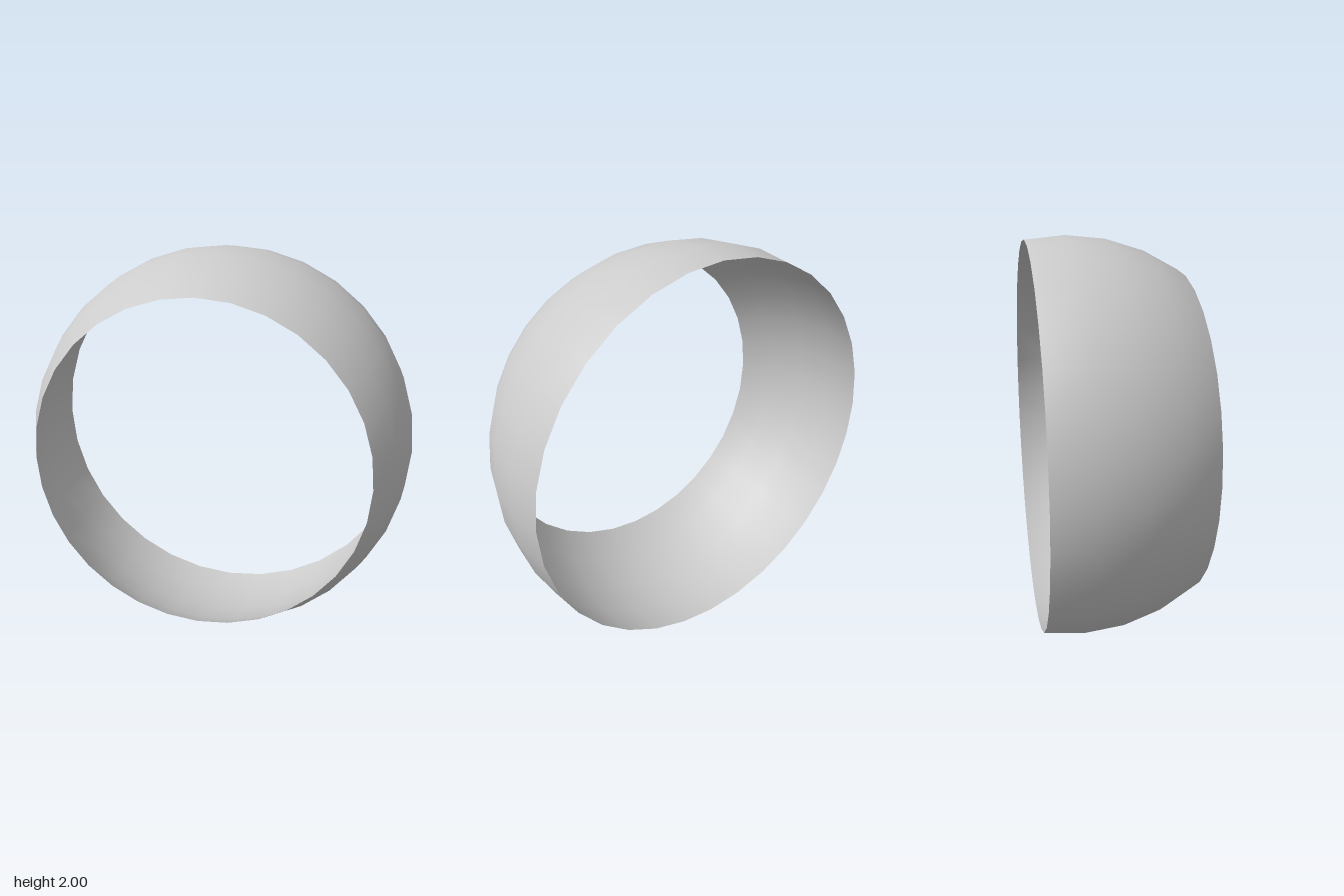
import * as THREE from 'three';

export function createModel() {
  const group = new THREE.Group();
  const step = Math.PI / 16; // 32 facets around, same step along the curve

  // Thin open band cut from a unit sphere: three steps in front of its equator, one behind
  const geometry = new THREE.SphereGeometry(1, 32, 4, 0, Math.PI * 2, 5 * step, 4 * step);
  geometry.rotateX(Math.PI / 2); // sphere axis runs front to back

  // Centre the band in depth and stand it on the ground
  const front = Math.sin(3 * step), back = -Math.sin(step);
  geometry.translate(0, 1, -(front + back) / 2);

  const band = new THREE.Mesh(
    geometry,
    new THREE.MeshStandardMaterial({ color: 0xcccccc, side: THREE.DoubleSide })
  );
  band.name = 'curvedBand';
  group.add(band);
  return group;
}
